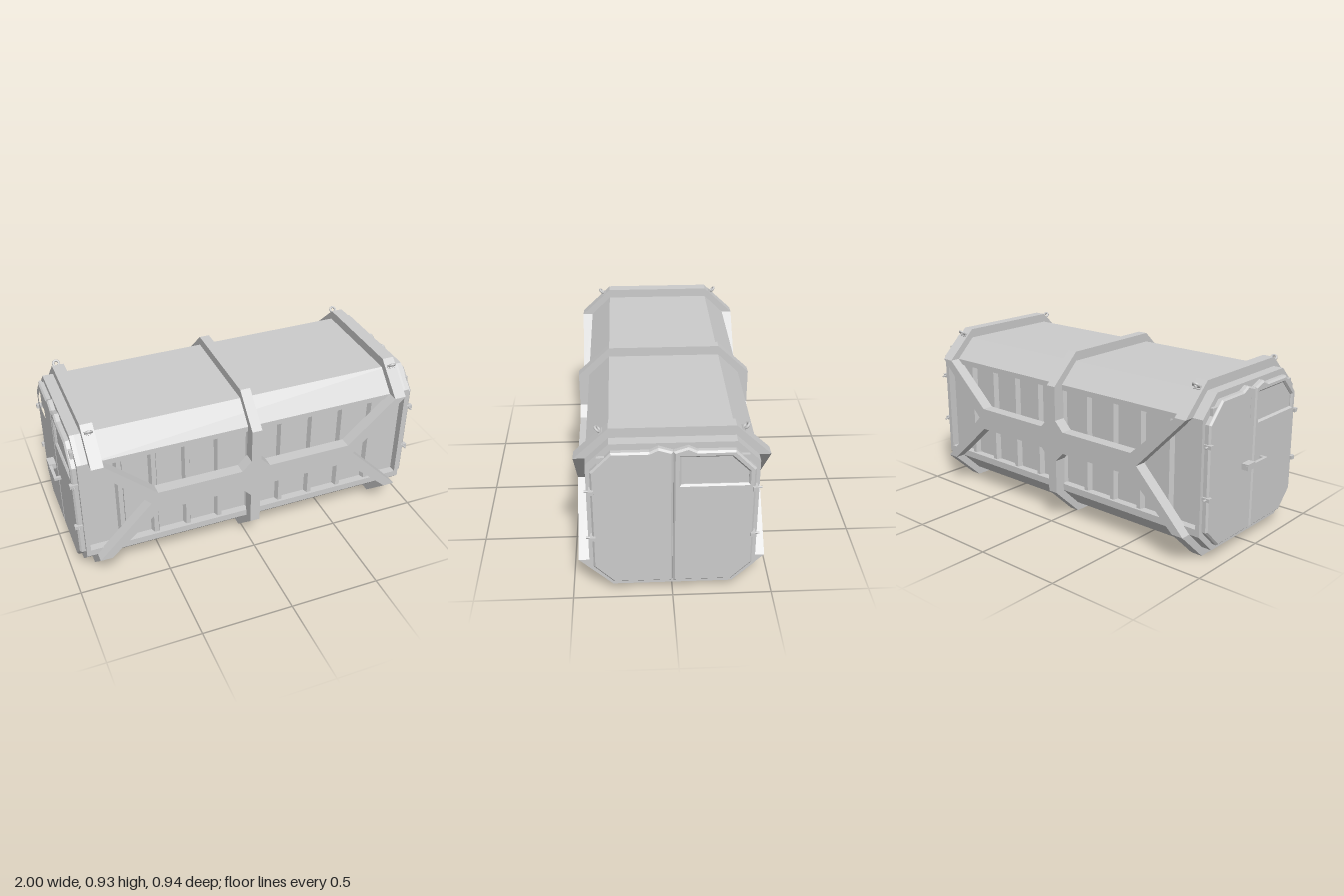
import * as THREE from 'three';

const mat = new THREE.MeshStandardMaterial({ color: 0xcccccc });
const TOP = 0.925; // overall height, also used to flip outlines vertically

function mesh(name, geo, parent, x = 0, y = 0, z = 0) {
  const m = new THREE.Mesh(geo, mat);
  m.name = name;
  m.position.set(x, y, z);
  parent.add(m);
  return m;
}

const shapeOf = (pts) => new THREE.Shape(pts.map(([a, b]) => new THREE.Vector2(a, b)));
const mirrorU = (pts) => [...pts, ...pts.map(([u, v]) => [-u, v]).reverse()];

// Extrudes a cross-section along x, from x0 to x1
function alongX(shape, x0, x1, bevel = 0) {
  const g = new THREE.ExtrudeGeometry(shape, {
    depth: x1 - x0 - 2 * bevel, bevelEnabled: bevel > 0, bevelSegments: 1,
    bevelSize: bevel, bevelThickness: bevel, bevelOffset: -bevel,
  });
  g.translate(0, 0, x0 + bevel);
  g.rotateY(Math.PI / 2);
  return g;
}

function buildBody(root) {
  const body = new THREE.Group();
  body.name = 'body';
  root.add(body);
  // Hull with a long recess in each side, closed by full octagons at both ends
  const hull = shapeOf(mirrorU([
    [0.3, 0.05], [0.413, 0.16], [0.413, 0.197], [0.37, 0.197],
    [0.37, 0.735], [0.413, 0.735], [0.413, 0.765], [0.3, 0.875],
  ]));
  const octagon = shapeOf(mirrorU([[0.3, 0.05], [0.413, 0.16], [0.413, 0.765], [0.3, 0.875]]));
  mesh('hull', alongX(hull, -0.919, 0.919), body);
  mesh('endFrame', alongX(octagon, 0.919, 0.9425), body);
  mesh('endFrame', alongX(octagon, -0.9425, -0.919), body);
}

function buildHoops(root) {
  // Upper half of a hoop; the lower half is the same outline flipped
  const arc = mirrorU([[0.3, TOP], [0.47, 0.765], [0.405, 0.765], [0.3, 0.868]]);
  // Order the outline as outer run followed by inner run
  const upper = [arc[7], arc[0], arc[1], arc[2], arc[3], arc[4], arc[5], arc[6]];
  const lower = upper.map(([u, v]) => [u, TOP - v]);
  for (const [x, half] of [[-0.8525, 0.0325], [0, 0.028], [0.8525, 0.0325]]) {
    mesh('hoopTop', alongX(shapeOf(upper), x - half, x + half), root);
    mesh('hoopBottom', alongX(shapeOf(lower), x - half, x + half), root);
  }
  // Lifting eyes standing out of the sloped parts of the end hoops
  for (const x of [-0.8525, 0.8525]) for (const s of [-1, 1]) {
    const eye = new THREE.Group();
    eye.name = 'liftingEye';
    eye.position.set(x, 0.89, s * 0.334);
    eye.rotation.x = s * Math.PI / 4;
    root.add(eye);
    mesh('eyeRing', new THREE.TorusGeometry(0.016, 0.0065, 8, 20), eye, 0, 0.022, 0);
    mesh('eyeBase', new THREE.BoxGeometry(0.04, 0.012, 0.022), eye, 0, 0.002, 0);
  }
}

// Ribs and the branching brace, made for +z and turned round for -z
function buildSide(root, turn) {
  const side = new THREE.Group();
  side.name = 'sideWall';
  side.rotation.y = turn;
  root.add(side);

  const q = [[0.028, 0.765], [0.028, 0.577], [0.08, 0.523], [0.551, 0.523],
    [0.82, 0.765], [0.885, 0.765], [0.589, TOP / 2]];
  const right = [...q, ...q.slice(0, -1).reverse().map(([x, y]) => [x, TOP - y])];
  const brace = new THREE.ExtrudeGeometry(shapeOf(mirrorU(right)), { depth: 0.065, bevelEnabled: false });
  mesh('sideBrace', brace, side, 0, 0, 0.405);

  const rib = new THREE.ExtrudeGeometry(
    shapeOf([[-0.024, 0.005], [0.024, 0.005], [0.012, -0.028], [-0.012, -0.028]]),
    { depth: 0.538, bevelEnabled: false });
  rib.rotateX(-Math.PI / 2);
  for (let i = -4; i <= 4; i++) mesh('wallRib', rib, side, i * 0.1825, 0.197, 0.37);
}

// Pair of door leaves with sunken upper panels and hinges, facing +x
function buildDoors(root, turn) {
  const doors = new THREE.Group();
  doors.name = 'doors';
  doors.rotation.y = turn;
  root.add(doors);
  const leaf = [[0.001, 0.082], [0.292, 0.082], [0.392, 0.183], [0.392, 0.739], [0.292, 0.842],
    [0.112, 0.842], [0.07, 0.863], [0.001, 0.84]];
  const panel = [[0.038, 0.658], [0.357, 0.658], [0.357, 0.725], [0.273, 0.809], [0.038, 0.809]];
  for (const s of [-1, 1]) {
    const flip = (pts) => pts.map(([u, v]) => [s * u, v]);
    const shape = shapeOf(flip(leaf));
    shape.holes.push(new THREE.Path(flip(panel).map(([u, v]) => new THREE.Vector2(u, v))));
    mesh('doorLeaf', alongX(shape, 0.925, 0.973, 0.009), doors);
    const back = new THREE.BoxGeometry(0.03, 0.18, 0.345);
    mesh('doorPanel', back, doors, 0.945, 0.735, s * 0.1975).scale.set(1, 0.86, 0.93);
    for (const y of [0.632, 0.362]) {
      mesh('hinge', new THREE.BoxGeometry(0.044, 0.02, 0.025), doors, 0.964, y, s * 0.389);
      const pin = new THREE.CylinderGeometry(0.0055, 0.0055, 0.045, 10);
      pin.rotateX(Math.PI / 2);
      mesh('hingePin', pin, doors, 0.966, y, s * 0.4);
    }
  }
}

function buildHandle(root) {
  const handle = new THREE.Group();
  handle.name = 'doorHandle';
  handle.position.set(0, 0.452, 0);
  root.add(handle);
  mesh('handleBar', new THREE.BoxGeometry(0.016, 0.016, 0.185), handle, -1.003, 0, -0.014);
  mesh('handleBracket', new THREE.BoxGeometry(0.045, 0.033, 0.065), handle, -0.9895, 0, -0.073);
  mesh('handlePost', new THREE.BoxGeometry(0.04, 0.016, 0.016), handle, -0.985, 0, 0.07);
}

export function createModel() {
  const root = new THREE.Group();
  root.name = 'cargoContainer';
  const box = new THREE.Group();
  box.name = 'container';
  box.position.x = 0.014; // offset that makes room for the handle
  root.add(box);
  buildBody(box);
  buildHoops(box);
  for (const turn of [0, Math.PI]) {
    buildSide(box, turn);
    buildDoors(box, turn);
  }
  buildHandle(box);
  return root;
}
